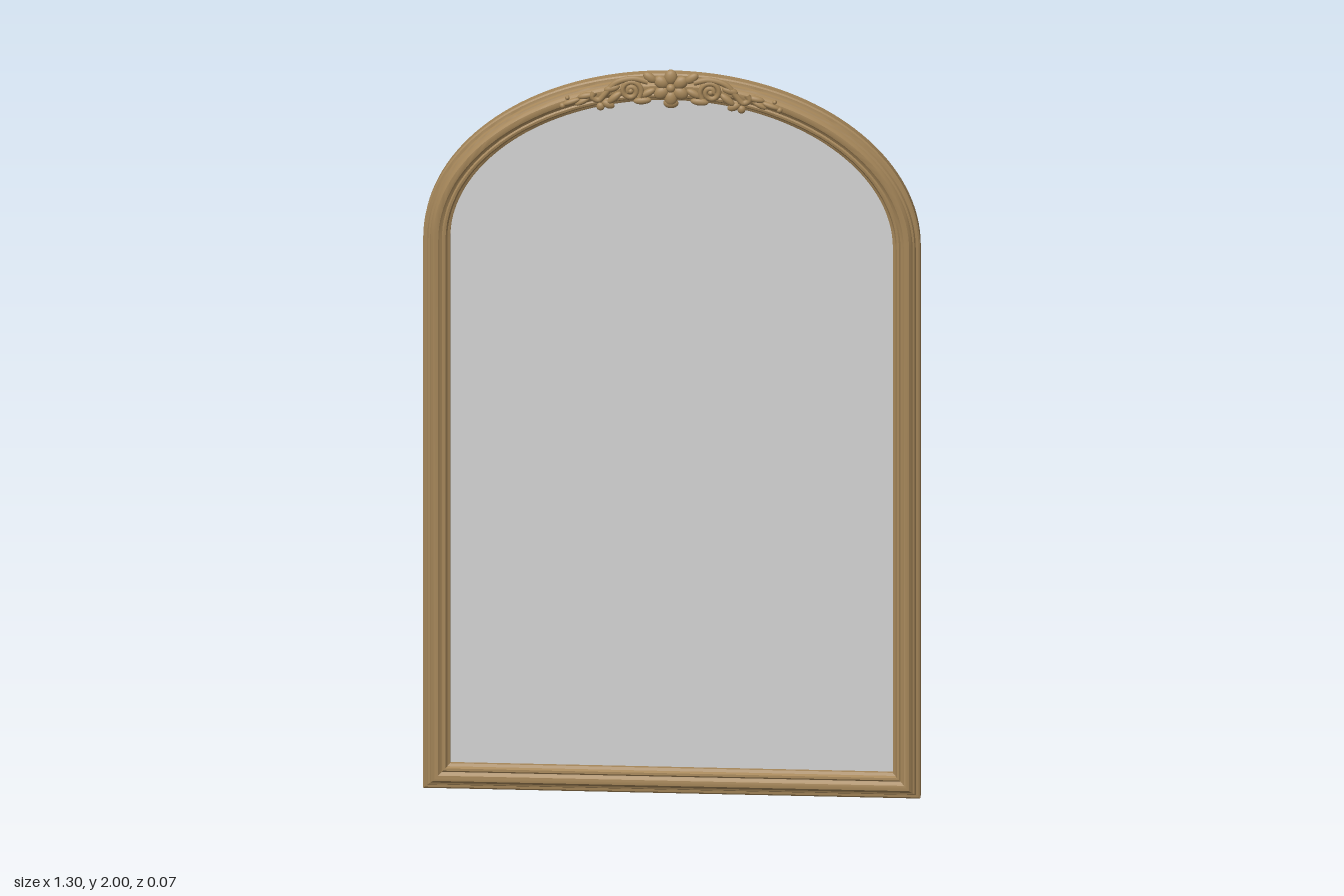
import * as THREE from 'three';
import { toCreasedNormals } from 'three/addons/utils/BufferGeometryUtils.js';

const HALF = 0.652, SPRING = 1.515, RISE = 0.465, SEG = 72;

// Outer outline, counter-clockwise, each point with its inward (mitred) direction
function archOutline() {
  const pts = [{ x: HALF, y: 0, nx: -1, ny: 1 }];
  for (let i = 0; i <= SEG; i++) {
    const t = (Math.PI * i) / SEG, c = Math.cos(t), s = Math.sin(t);
    const n = new THREE.Vector2(-c / HALF, -s / RISE).normalize();
    pts.push({ x: HALF * c, y: SPRING + RISE * s, nx: n.x, ny: n.y });
  }
  pts.push({ x: -HALF, y: 0, nx: 1, ny: 1 });
  return pts;
}

// Sweep a closed [inset, z] profile round the outline
function sweepFrame(profile) {
  const path = archOutline(), n = path.length, m = profile.length;
  const pos = [], idx = [];
  for (const p of path)
    for (const [d, z] of profile) pos.push(p.x + p.nx * d, p.y + p.ny * d, z);
  for (let i = 0; i < n; i++)
    for (let j = 0; j < m; j++) {
      const i2 = (i + 1) % n, j2 = (j + 1) % m;
      const a = i * m + j, b = i2 * m + j, c = i2 * m + j2, e = i * m + j2;
      idx.push(a, b, c, a, c, e);
    }
  const g = new THREE.BufferGeometry();
  g.setAttribute('position', new THREE.Float32BufferAttribute(pos, 3));
  g.setIndex(idx);
  return toCreasedNormals(g, 0.5);
}

export function createModel() {
  const group = new THREE.Group();
  const wood = new THREE.MeshStandardMaterial({ name: 'antique gold', color: 0xa58659 });
  const silver = new THREE.MeshStandardMaterial({ name: 'mirror silver', color: 0xd4d4d4 });
  const dark = new THREE.MeshStandardMaterial({ name: 'backing grey', color: 0x6d6d6d });

  const add = (parent, name, geo, mat) => {
    const mesh = new THREE.Mesh(geo, mat);
    mesh.name = name;
    parent.add(mesh);
    return mesh;
  };

  // Stepped moulding: back edge, outer step, main bead, groove, inner lip
  add(group, 'frame', sweepFrame([
    [0, -0.034], [0, -0.007], [0.004, -0.004], [0.011, -0.003], [0.014, 0.004],
    [0.019, 0.006], [0.022, 0.012], [0.027, 0.016], [0.034, 0.017], [0.041, 0.015],
    [0.046, 0.01], [0.05, 0.008], [0.054, 0.011], [0.06, 0.01], [0.064, 0.003],
    [0.071, -0.001], [0.071, -0.034],
  ]), wood);

  // Mirror glass and its backing
  const shape = new THREE.Shape(archOutline().map(
    (p) => new THREE.Vector2(p.x + p.nx * 0.069, p.y + p.ny * 0.069)));
  const plate = new THREE.ShapeGeometry(shape);
  add(group, 'mirrorGlass', plate, silver).position.z = -0.012;
  add(group, 'backing', plate.clone().rotateY(Math.PI), dark).position.z = -0.028;

  // Carved crest
  const crest = new THREE.Group();
  crest.name = 'crest';
  group.add(crest);
  const ball = new THREE.SphereGeometry(1, 16, 10);
  const blob = (name, x, y, z, rx, ry, rz, angle = 0) => {
    const m = add(crest, name, ball, wood);
    m.position.set(x, y, z);
    m.scale.set(rx, ry, rz);
    m.rotation.z = angle;
  };
  const tube = (name, pts, r) =>
    add(crest, name, new THREE.TubeGeometry(new THREE.CatmullRomCurve3(pts), 36, r, 8), wood);

  // Central rosette
  for (let k = 0; k < 6; k++) {
    const a = Math.PI / 2 + (k * Math.PI) / 3;
    blob('rosettePetal', 0.029 * Math.cos(a), 1.95 + 0.029 * Math.sin(a), 0.02, 0.021, 0.017, 0.012, a);
  }
  blob('rosetteCentre', 0, 1.95, 0.025, 0.012, 0.012, 0.01);
  blob('rosetteDrop', 0, 1.907, 0.018, 0.02, 0.014, 0.01);

  for (const s of [1, -1]) {
    // Spiral scroll with a tail running down the arch
    const spiral = [];
    for (let k = 0; k <= 18; k++) {
      const a = (k / 18) * Math.PI * 3.2, r = 0.007 + 0.022 * (k / 18);
      spiral.push(new THREE.Vector3(s * (0.105 + r * Math.cos(a)), 1.94 + r * Math.sin(a), 0.024));
    }
    tube('scroll', spiral, 0.007);
    blob('scrollEye', s * 0.105, 1.94, 0.025, 0.008, 0.008, 0.009);
    tube('scrollTail', [[0.06, 1.965], [0.1, 1.973], [0.145, 1.96], [0.172, 1.93], [0.19, 1.912],
      [0.206, 1.92], [0.2, 1.934]].map(([x, y]) => new THREE.Vector3(s * x, y, 0.022)), 0.008);

    // Leaves: x, y, half length, half width, angle, z
    for (const [x, y, l, w, a, z] of [
      [0.055, 1.977, 0.02, 0.012, 0.6, 0.022], [0.06, 1.935, 0.022, 0.01, -0.5, 0.022],
      [0.075, 1.912, 0.024, 0.01, -0.1, 0.018], [0.148, 1.92, 0.024, 0.01, -0.7, 0.021],
      [0.165, 1.9, 0.018, 0.011, 0.4, 0.017], [0.155, 1.945, 0.022, 0.01, -0.3, 0.022],
      [0.222, 1.922, 0.024, 0.009, -0.2, 0.017], [0.232, 1.906, 0.022, 0.008, -0.5, 0.016],
      [0.262, 1.904, 0.026, 0.008, -0.35, 0.016],
    ]) blob('crestLeaf', s * x, y, z, l, w, 0.009, s * a);
    for (const [x, y, r] of [[0.185, 1.893, 0.011], [0.285, 1.893, 0.008], [0.272, 1.915, 0.006]])
      blob('crestBud', s * x, y, 0.016, r, r, 0.008);
  }
  return group;
}
